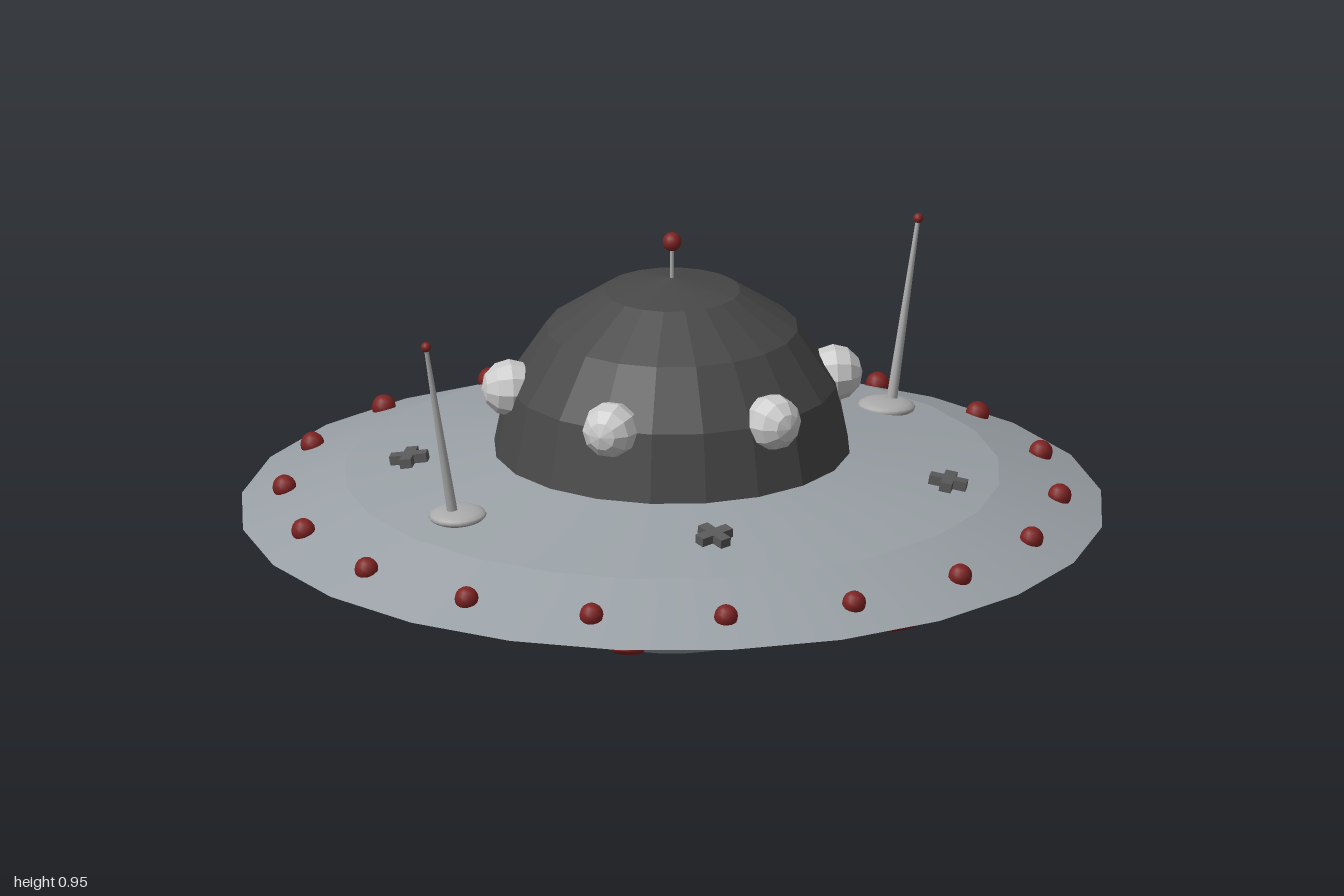
import * as THREE from 'three';

const mat = (color, flat = false) =>
  new THREE.MeshStandardMaterial({ color, flatShading: flat });
const hullMat = mat(0x9aa1a6);
const domeMat = mat(0x484848, true);
const darkMat = mat(0x5a5a5a, true);
const cavityMat = mat(0x2c2c2c);
const redMat = mat(0x7d2222);
const paleMat = mat(0xcccccc, true);
const poleMat = mat(0xaaaaaa);

const UP = new THREE.Vector3(0, 1, 0);
const v3 = (x, y, z) => new THREE.Vector3(x, y, z);

export function createModel() {
  const root = new THREE.Group();

  const add = (name, geometry, material, x = 0, y = 0, z = 0, parent = root) => {
    const mesh = new THREE.Mesh(geometry, material);
    mesh.name = name;
    mesh.position.set(x, y, z);
    parent.add(mesh);
    return mesh;
  };
  const lathe = (name, profile, material, sides = 24) =>
    add(name, new THREE.LatheGeometry(profile.map(([r, y]) => new THREE.Vector2(r, y)), sides), material);

  // Calls place(x, z, angle) around a ring; the angle is measured from +z towards +x
  const ring = (count, radius, place) => {
    for (let i = 0; i < count; i++) {
      const a = (i / count) * Math.PI * 2;
      place(Math.sin(a) * radius, Math.cos(a) * radius, a);
    }
  };

  // Saucer hull, in bands so the edges stay crisp
  lathe('lowerHull', [[0.235, 0], [0.4, 0.12], [0.76, 0.19]], hullMat);
  lathe('lowerRim', [[0.76, 0.19], [1, 0.27]], hullMat);
  lathe('upperRim', [[1, 0.27], [0.76, 0.362]], hullMat);
  lathe('upperHull', [[0.76, 0.362], [0.39, 0.428]], hullMat);

  // Recess in the underside
  lathe('recessWall', [[0.235, 0.095], [0.235, 0]], hullMat);
  lathe('recessCeiling', [[0, 0.095], [0.235, 0.095]], cavityMat);

  // Dome
  const dome = add('dome',
    new THREE.SphereGeometry(0.413, 20, 4, 0, Math.PI * 2, 0, Math.PI / 2), domeMat, 0, 0.426, 0);
  dome.rotation.y = Math.PI / 20;

  // Pale round portholes with their poles facing outwards
  const porthole = new THREE.SphereGeometry(0.066, 10, 6).rotateX(Math.PI / 2);
  ring(6, 0.378, (x, z, a) => {
    add('porthole', porthole, paleMat, x, 0.587, z).rotation.y = a;
  });

  // Red lights around the upper rim
  const bulb = new THREE.SphereGeometry(0.028, 12, 8);
  ring(18, 0.895, (x, z) => {
    // swap the axes so that one light lies on the x axis
    add('rimLight', bulb, redMat, z, 0.316, x);
  });

  // Red lights inside the underside recess
  ring(8, 0.232, (x, z) => add('recessLight', bulb, redMat, x, 0.07, z));

  // Long flush lights on the lower rim, following its slope
  const lens = new THREE.SphereGeometry(1, 12, 8).scale(0.04, 0.012, 0.062);
  ring(8, 0.85, (x, z, a) => {
    const light = add('undersideLight', lens, redMat, x, 0.219, z);
    light.rotation.set(-Math.atan2(0.08, 0.24), a, 0, 'YXZ');
  });

  // Tapered pole between two points
  const pole = (name, from, to, r0, r1, parent) => {
    const dir = to.clone().sub(from);
    const mid = from.clone().add(to).multiplyScalar(0.5);
    const mesh = add(name, new THREE.CylinderGeometry(r1, r0, dir.length(), 10), poleMat,
      mid.x, mid.y, mid.z, parent);
    mesh.quaternion.setFromUnitVectors(UP, dir.normalize());
  };

  // Leaning antennas on both sides
  for (const side of [0, 1]) {
    const antenna = new THREE.Group();
    antenna.name = side ? 'rightAntenna' : 'leftAntenna';
    antenna.rotation.y = side * Math.PI;
    root.add(antenna);
    const foot = add('antennaFoot',
      new THREE.SphereGeometry(0.067, 20, 10).scale(1, 0.28, 1), poleMat, 0.628, 0.391, 0, antenna);
    foot.rotation.z = -0.06;
    pole('antennaPole', v3(0.642, 0.395, 0), v3(0.729, 0.825, -0.01), 0.013, 0.005, antenna);
    add('antennaTip', new THREE.SphereGeometry(0.012, 10, 8), redMat, 0.729, 0.825, -0.01, antenna);
  }

  // Short mast on top of the dome
  pole('mast', v3(0, 0.83, 0), v3(0, 0.925, 0), 0.005, 0.004, root);
  add('mastLight', new THREE.SphereGeometry(0.022, 14, 10), redMat, 0, 0.925, 0);

  // Cross-shaped fittings lying on the upper hull
  const s = 0.044, t = 0.014;
  const crossShape = new THREE.Shape([
    [t, s], [-t, s], [-t, t], [-s, t], [-s, -t], [-t, -t],
    [-t, -s], [t, -s], [t, -t], [s, -t], [s, t], [t, t],
  ].map(([x, y]) => new THREE.Vector2(x, y)));
  const crossGeo = new THREE.ExtrudeGeometry(crossShape, { depth: 0.026, bevelEnabled: false })
    .translate(0, 0, -0.013).rotateX(-Math.PI / 2);
  const slope = Math.atan2(0.066, 0.37);
  for (const [x, z, turn] of [[0.48, -0.45, 0], [-0.48, -0.37, 0.7], [-0.275, 0.51, 0], [0.41, 0.51, 0.75]]) {
    const r = Math.hypot(x, z);
    const y = 0.428 - (r - 0.39) * Math.tan(slope) + 0.008;
    const cross = add('crossFitting', crossGeo, darkMat, x, y, z);
    const normal = v3((x / r) * Math.sin(slope), Math.cos(slope), (z / r) * Math.sin(slope));
    cross.quaternion.setFromUnitVectors(UP, normal)
      .multiply(new THREE.Quaternion().setFromAxisAngle(UP, turn));
  }

  return root;
}
